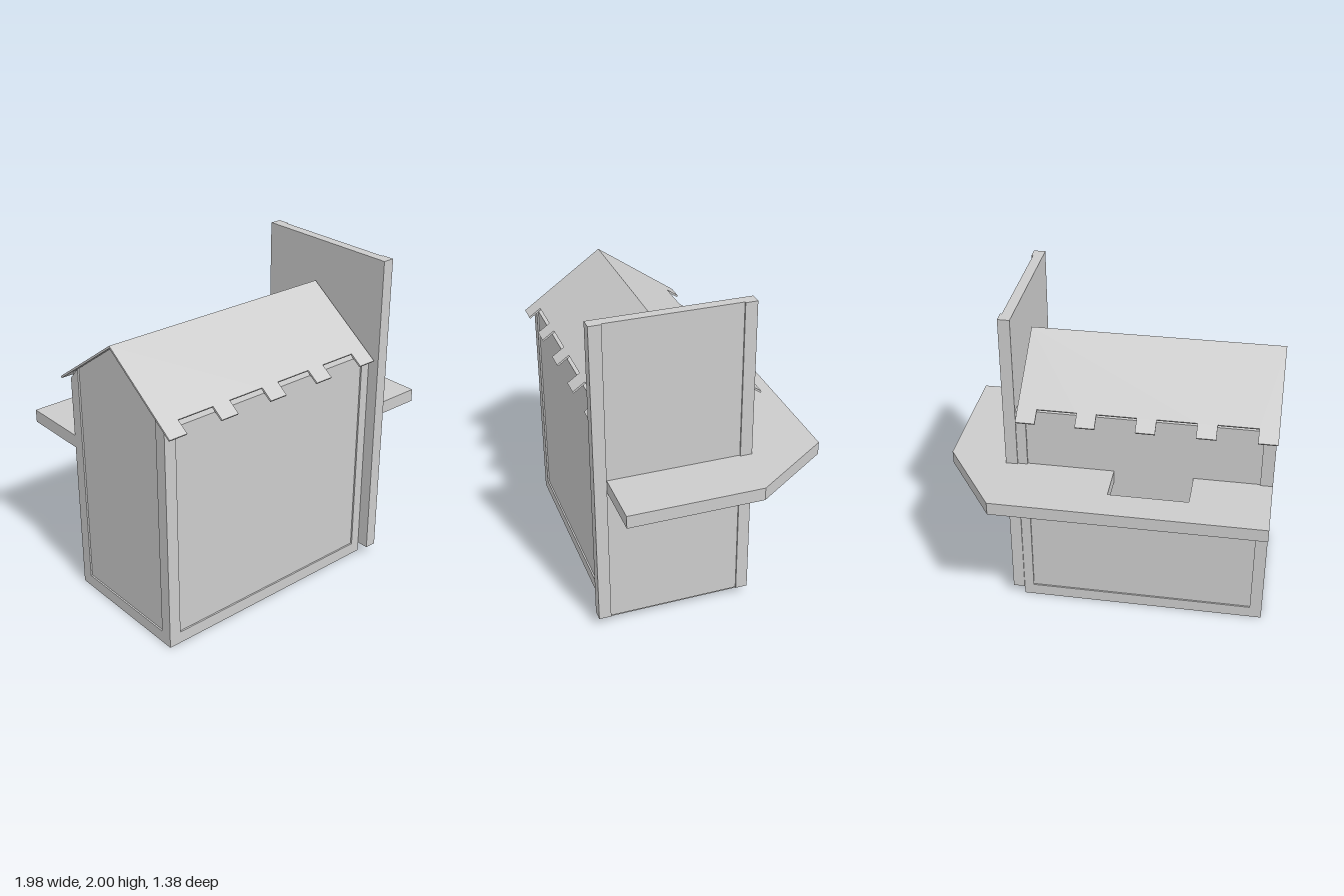
import * as THREE from 'three';

const material = new THREE.MeshStandardMaterial({ color: 0xcccccc, flatShading: true });

// House extents, and the roof's ridge and pitch
const X0 = -0.98, X1 = 0.56, Z0 = -0.26, Z1 = 0.613, EAVE = 1.4;
const RIDGE_Y = 1.742, RIDGE_Z = 0.16, PITCH = Math.atan(0.705);
const SHEET = 0.012, STEP = 0.01, BORDER = 0.075;
const underRoof = (z) => RIDGE_Y - 0.016 - 0.705 * Math.abs(z - RIDGE_Z);

function add(parent, name, geometry) {
  const mesh = new THREE.Mesh(geometry, material);
  mesh.name = name;
  parent.add(mesh);
  return mesh;
}

// Box given by its minimum and maximum corners
function block(parent, name, [ax, ay, az], [bx, by, bz]) {
  const mesh = add(parent, name, new THREE.BoxGeometry(bx - ax, by - ay, bz - az));
  mesh.position.set((ax + bx) / 2, (ay + by) / 2, (az + bz) / 2);
  return mesh;
}

function extrude(points, depth) {
  const shape = new THREE.Shape(points.map(([x, y]) => new THREE.Vector2(x, y)));
  return new THREE.ExtrudeGeometry(shape, { depth, bevelEnabled: false });
}

// Plate drawn in (z, y), running from x towards -x
function endPlate(parent, name, points, x, depth) {
  add(parent, name, extrude(points, depth).rotateY(-Math.PI / 2)).position.x = x;
}

function createWalls() {
  const walls = new THREE.Group();
  walls.name = 'walls';
  block(walls, 'floor', [X0, 0, Z0], [X1, 0.06, Z1]);

  // Long walls, each recessed inside a raised border
  for (const [side, inner, face, outer] of [
    ['front', Z1 - 0.06, Z1 - STEP, Z1], ['back', Z0 + 0.06, Z0 + STEP, Z0]]) {
    const lo = Math.min(inner, face), hi = Math.max(inner, face);
    block(walls, side + 'Wall', [X0 + STEP, 0, lo], [X1, EAVE, hi]);
    const flo = Math.min(face, outer), fhi = Math.max(face, outer);
    const border = extrude([[X0, 0], [X1, 0], [X1, EAVE], [X1 - 0.06, EAVE], [X1 - 0.06, BORDER],
      [X0 + BORDER, BORDER], [X0 + BORDER, EAVE], [X0, EAVE]], fhi - flo);
    add(walls, side + 'Border', border).position.z = flo;
  }

  // Gabled end walls
  const za = Z0 + STEP, zb = Z1 - STEP;
  const gable = [[za, 0], [zb, 0], [zb, underRoof(zb)], [RIDGE_Z, underRoof(RIDGE_Z)], [za, underRoof(za)]];
  endPlate(walls, 'outerGable', gable, X0 + 0.05, 0.05 - STEP);
  endPlate(walls, 'innerGable', gable, 0.535, 0.03);

  // Raised border on the exposed gable
  const pa = Z0 + BORDER, pb = Z1 - BORDER;
  endPlate(walls, 'gableBorder', [[Z0, 0], [Z1, 0], [Z1, EAVE], [pb, underRoof(pb)], [pb, BORDER],
    [pa, BORDER], [pa, underRoof(pa)], [Z0, EAVE]], X0 + STEP, STEP);
  return walls;
}

function createRoof() {
  const roof = new THREE.Group();
  roof.name = 'roof';
  const half = 0.765, solid = 0.535, full = 0.627, tab = 0.116;

  // Outline of one slope: x along the ridge, y down the slope
  const points = [[-half, 0], [half, 0]];
  for (let i = 4; i >= 0; i--) {
    const left = -half + i * (2 * half - tab) / 4, right = left + tab;
    if (i < 4) points.push([right, solid]);
    points.push([right, full], [left, full]);
    if (i > 0) points.push([left, solid]);
  }
  for (const [name, turn] of [['frontSlope', 0], ['backSlope', Math.PI]]) {
    const slope = add(roof, name, extrude(points, SHEET).rotateX(Math.PI / 2 + PITCH));
    slope.rotation.y = turn;
  }
  roof.position.set(-0.225, RIDGE_Y, RIDGE_Z);
  return roof;
}

function createTallPanel() {
  const panel = new THREE.Group();
  panel.name = 'tallPanel';
  block(panel, 'panelBoard', [X1, 0.06, -0.268], [0.622, 2, 0.688]);
  block(panel, 'panelBackStrip', [0.622, 0.06, -0.268], [0.632, 2, -0.195]);
  block(panel, 'panelFrontStrip', [0.622, 0.06, 0.613], [0.632, 2, 0.688]);
  return panel;
}

export function createModel() {
  const model = new THREE.Group();
  model.name = 'house';
  model.add(createWalls(), createRoof(), createTallPanel());

  // Ledge wrapping the back and the panel side, with a notch against the back wall
  const inner = Z0 + STEP;
  const ledge = extrude([[X0, -0.69], [0.647, -0.69], [0.987, -0.2], [0.987, 0.61], [0.62, 0.61],
    [0.62, inner], [-0.03, inner], [-0.03, -0.493], [-0.508, -0.493], [-0.508, inner], [X0, inner]], 0.08);
  add(model, 'ledge', ledge.rotateX(Math.PI / 2)).position.y = 1.028;
  return model;
}
